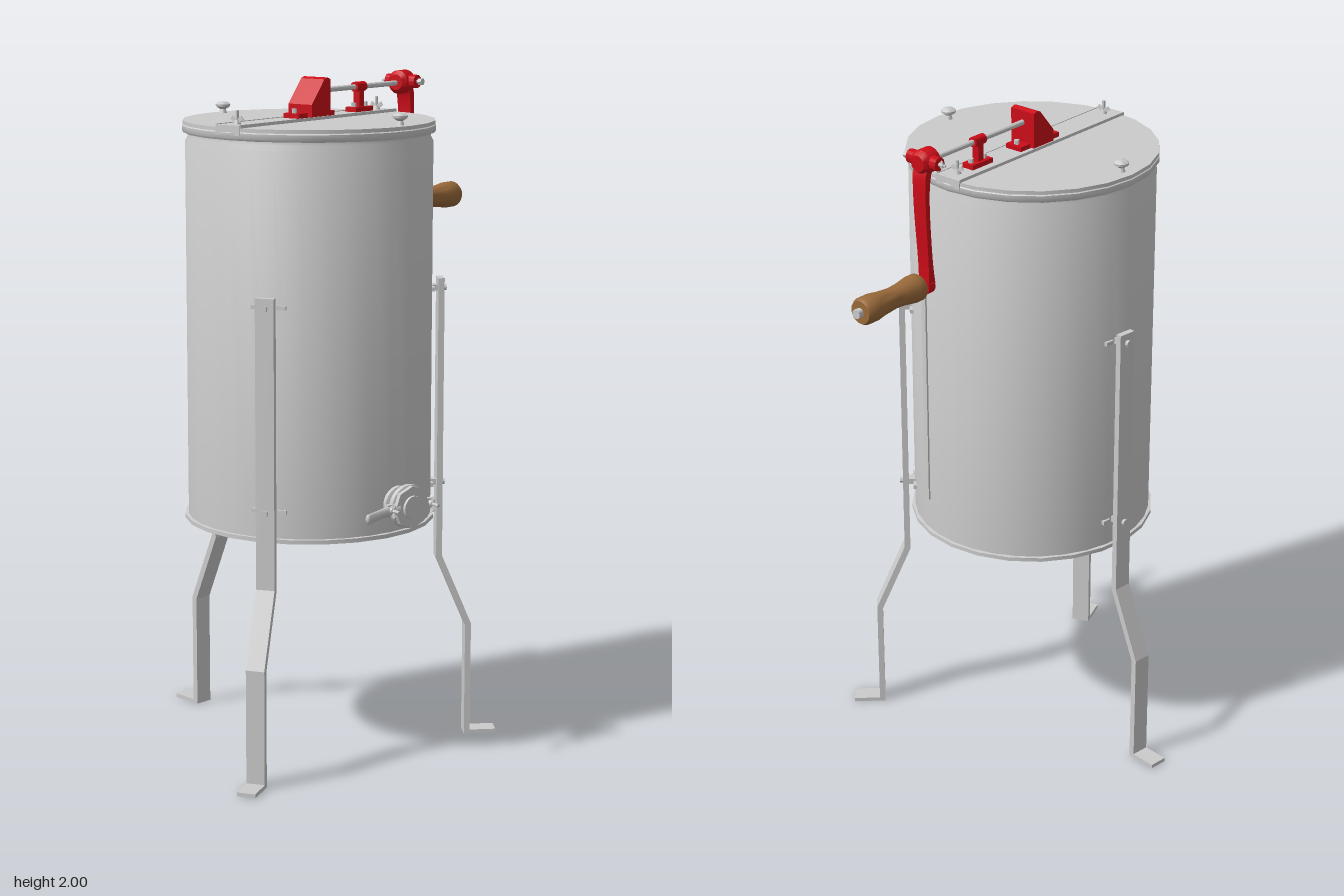
import * as THREE from 'three';
import { toCreasedNormals } from 'three/addons/utils/BufferGeometryUtils.js';

const CX = 0.042, CZ = 0.1, R = 0.362; // drum axis and radius
const rad = THREE.MathUtils.degToRad;
const steel = new THREE.MeshStandardMaterial({ color: 0xcccccc });
const red = new THREE.MeshStandardMaterial({ color: 0xcc0c18 });
const wood = new THREE.MeshStandardMaterial({ color: 0x9a6a3a });

function add(parent, name, geo, mat = steel, x = 0, y = 0, z = 0) {
  const m = new THREE.Mesh(geo, mat);
  m.name = name;
  m.position.set(x, y, z);
  parent.add(m);
  return m;
}
function group(parent, name, x = 0, y = 0, z = 0) {
  const g = new THREE.Group();
  g.name = name;
  g.position.set(x, y, z);
  parent.add(g);
  return g;
}
const box = (w, h, d) => new THREE.BoxGeometry(w, h, d);
const cyl = (r, h, n = 12, r2 = r) => toCreasedNormals(new THREE.CylinderGeometry(r, r2, h, n), 0.7);
const vecs = pts => pts.map(p => new THREE.Vector2(p[0], p[1]));
const lathe = (pts, n = 24) => toCreasedNormals(new THREE.LatheGeometry(vecs(pts), n), 0.7);
// outline extruded symmetrically about its own plane
function slab(pts, depth) {
  const g = new THREE.ExtrudeGeometry(new THREE.Shape(vecs(pts)), { depth, bevelEnabled: false });
  return g.translate(0, 0, -depth / 2);
}

// stud along +y with a nut and two wings
function wingNut(parent, name, x, y, z) {
  const g = group(parent, name, x, y, z);
  add(g, 'stud', cyl(0.005, 0.044, 8), steel, 0, 0.02, 0);
  add(g, 'nut', cyl(0.008, 0.014, 10, 0.012), steel, 0, 0.008, 0);
  for (const s of [-1, 1]) {
    const w = add(g, 'wing', box(0.016, 0.012, 0.004), steel, s * 0.013, 0.017, 0);
    w.rotation.z = s * 0.6;
  }
  return g;
}

function buildDrum(root) {
  const drum = group(root, 'drum', CX, 0, CZ);
  add(drum, 'drumBody', lathe([[0, 0.705], [R, 0.705], [R, 1.82], [R - 0.008, 1.835], [R - 0.008, 1.85], [0, 1.85]], 32));
  add(drum, 'bottomRim', lathe([[0, 0.698], [0.372, 0.698], [0.372, 0.71], [R - 0.01, 0.712]]));
  add(drum, 'topRim', lathe([[R - 0.012, 1.845], [0.366, 1.845], [0.371, 1.852], [0.371, 1.866], [0.366, 1.87], [0, 1.87]]));
  add(drum, 'lid', lathe([[0.3, 1.869], [0.369, 1.869], [0.369, 1.88], [0, 1.88]]));
  const seam = group(drum, 'seam');
  seam.rotation.y = rad(70);
  add(seam, 'seamStrip', box(0.006, 1.0, 0.025), steel, R, 1.31, 0);
  // lid knobs
  for (const s of [-1, 1])
    add(drum, 'lidKnob', lathe([[0.012, 0], [0.008, 0.012], [0.021, 0.02], [0.022, 0.027], [0.015, 0.033], [0, 0.035]], 14), steel, s * 0.329, 1.88, 0);
}

function buildLeg(root, angle) {
  const leg = group(root, 'leg', CX, 0, CZ);
  leg.rotation.y = -rad(angle);
  add(leg, 'legStrip', slab([[0.381, 1.41], [0.381, 0.56], [0.472, 0.345], [0.472, 0],
    [0.57, 0], [0.57, 0.012], [0.49, 0.012], [0.49, 0.35], [0.399, 0.565], [0.399, 1.41]], 0.056));
  for (const y of [0.79, 1.38]) {
    add(leg, 'legSpacer', box(0.024, 0.018, 0.03), steel, 0.371, y, 0);
    add(leg, 'legBolt', cyl(0.01, 0.01, 8), steel, 0.403, y, 0).rotation.z = -Math.PI / 2;
    for (const s of [-1, 1])
      add(leg, 'legBracket', box(0.012, 0.012, 0.028), steel, 0.361, y, s * 0.038);
  }
}

function buildGate(root) {
  const gate = group(root, 'gateValve', 0.395, 0.795, 0.145);
  gate.rotation.y = -rad(15);
  const body = add(gate, 'gateSpout', lathe([[0.05, 0], [0.05, 0.02], [0.036, 0.026], [0.038, 0.035], [0.055, 0.05], [0.064, 0.052],
    [0.064, 0.066], [0.045, 0.074], [0.04, 0.07], [0, 0.07]], 20));
  body.rotation.z = -Math.PI / 2;
  const plate = add(gate, 'gatePlate', cyl(0.062, 0.014, 8), steel, 0.074, 0, 0);
  plate.rotation.z = -Math.PI / 2;
  const boss = add(gate, 'gateBoss', cyl(0.035, 0.012, 16), steel, 0.084, 0, 0);
  boss.rotation.z = -Math.PI / 2;
  // ears with wing nuts
  for (const s of [-1, 1]) {
    add(gate, 'gateEar', box(0.016, 0.03, 0.04), steel, 0.064, 0, s * 0.064);
    const nut = wingNut(gate, 'gateWingNut', 0.068, 0, s * 0.072);
    nut.rotation.z = -Math.PI / 2;
  }
  // curved lever
  const path = new THREE.CatmullRomCurve3([[0.078, 0, 0.045], [0.07, -0.002, 0.09], [0.078, -0.004, 0.13], [0.095, -0.004, 0.172]]
    .map(p => new THREE.Vector3(...p)));
  const lever = new THREE.TubeGeometry(path, 12, 0.008, 8);
  lever.scale(1, 1.8, 1);
  add(gate, 'gateLever', lever);
  add(gate, 'gateLeverTip', new THREE.SphereGeometry(0.008, 8, 6).scale(1, 1.8, 1), steel, 0.095, -0.007, 0.172);
}

function buildDrive(root) {
  const drive = group(root, 'drive', CX, 0, 0);
  // bridge bar across the lid with raised edges
  add(drive, 'bridgeBar', box(0.088, 0.008, 0.73), steel, 0, 1.883, CZ);
  for (const s of [-1, 1]) {
    add(drive, 'bridgeEdge', box(0.004, 0.012, 0.73), steel, s * 0.043, 1.883, CZ);
    add(drive, 'bridgeEnd', box(0.088, 0.028, 0.004), steel, 0, 1.873, CZ + s * 0.366);
    wingNut(drive, 'bridgeWingNut', 0, 1.884, CZ + s * 0.325);
  }
  // gear housing, side outline in (z, y)
  add(drive, 'gearBase', box(0.056, 0.014, 0.17), red, 0, 1.894, 0.1);
  add(drive, 'gearHousing', slab([[0.055, 1.89], [0.142, 1.89], [0.142, 1.925], [0.083, 1.995], [0.07, 2], [0.055, 1.995]], 0.086), red)
    .rotation.y = -Math.PI / 2;
  // shaft bearing
  add(drive, 'bearingBase', box(0.04, 0.014, 0.085), red, 0, 1.894, -0.14);
  add(drive, 'bearingPost', box(0.022, 0.065, 0.022), red, 0, 1.93, -0.138);
  add(drive, 'bearingSleeve', cyl(0.015, 0.045), red, 0, 1.96, -0.138).rotation.x = Math.PI / 2;
  for (const z of [0.168, 0.03, -0.113, -0.168])
    add(drive, 'baseBolt', cyl(0.008, 0.014, 6), steel, 0, 1.907, z);
  add(drive, 'shaft', cyl(0.008, 0.44), steel, 0, 1.96, -0.165).rotation.x = Math.PI / 2;
}

function buildCrank(root) {
  const crank = group(root, 'crank', CX, 0, 0);
  // hub with clamp bolt
  const hub = add(crank, 'crankHub', lathe([[0, -0.034], [0.024, -0.034], [0.036, -0.022], [0.036, 0.018], [0.024, 0.034], [0, 0.034]], 16), red, 0, 1.962, -0.355);
  hub.rotation.x = -Math.PI / 2;
  add(crank, 'hubEars', cyl(0.02, 0.11, 12), red, 0, 1.965, -0.358).rotation.z = Math.PI / 2;
  add(crank, 'clampBolt', cyl(0.006, 0.14, 8), steel, 0, 1.965, -0.358).rotation.z = Math.PI / 2;
  add(crank, 'clampBoltHead', cyl(0.011, 0.012, 6), steel, 0.068, 1.965, -0.358).rotation.z = Math.PI / 2;
  const nut = wingNut(crank, 'clampWingNut', -0.052, 1.965, -0.358);
  nut.rotation.z = Math.PI / 2;
  nut.scale.setScalar(0.6);
  // bowed, tapering arm
  const arm = new THREE.BoxGeometry(1, 0.36, 1, 1, 14, 1), p = arm.attributes.position;
  for (let i = 0; i < p.count; i++) {
    const t = THREE.MathUtils.clamp(0.5 - p.getY(i) / 0.36, 0, 1); // 0 at the hub, 1 at the grip
    const end = (2 * t - 1) ** 4;
    p.setX(i, p.getX(i) * (0.05 - 0.012 * t));
    p.setZ(i, p.getZ(i) * (0.016 + 0.012 * end) - 0.358 - 0.017 * Math.sin(Math.PI * Math.sqrt(t)));
  }
  add(crank, 'crankArm', toCreasedNormals(arm.translate(0, 1.775, 0), 0.6), red);
  add(crank, 'gripBoss', cyl(0.024, 0.026, 14), red, 0, 1.588, -0.362).rotation.x = Math.PI / 2;
  // turned wooden grip on a steel pin
  const grip = group(crank, 'grip', 0, 1.596, -0.38);
  grip.rotation.x = -Math.PI / 2;
  add(grip, 'gripPin', cyl(0.014, 0.285), steel, 0, 0.124, 0);
  add(grip, 'woodenGrip', lathe([[0, 0.01], [0.032, 0.01], [0.04, 0.02], [0.04, 0.045], [0.033, 0.09], [0.031, 0.12],
    [0.035, 0.17], [0.04, 0.2], [0.04, 0.24], [0.034, 0.25], [0, 0.25]], 20), wood);
}

export function createModel() {
  const root = new THREE.Group();
  root.name = 'extractor';
  buildDrum(root);
  for (const angle of [70, 186, 316]) buildLeg(root, angle);
  buildGate(root);
  buildDrive(root);
  buildCrank(root);
  return root;
}
